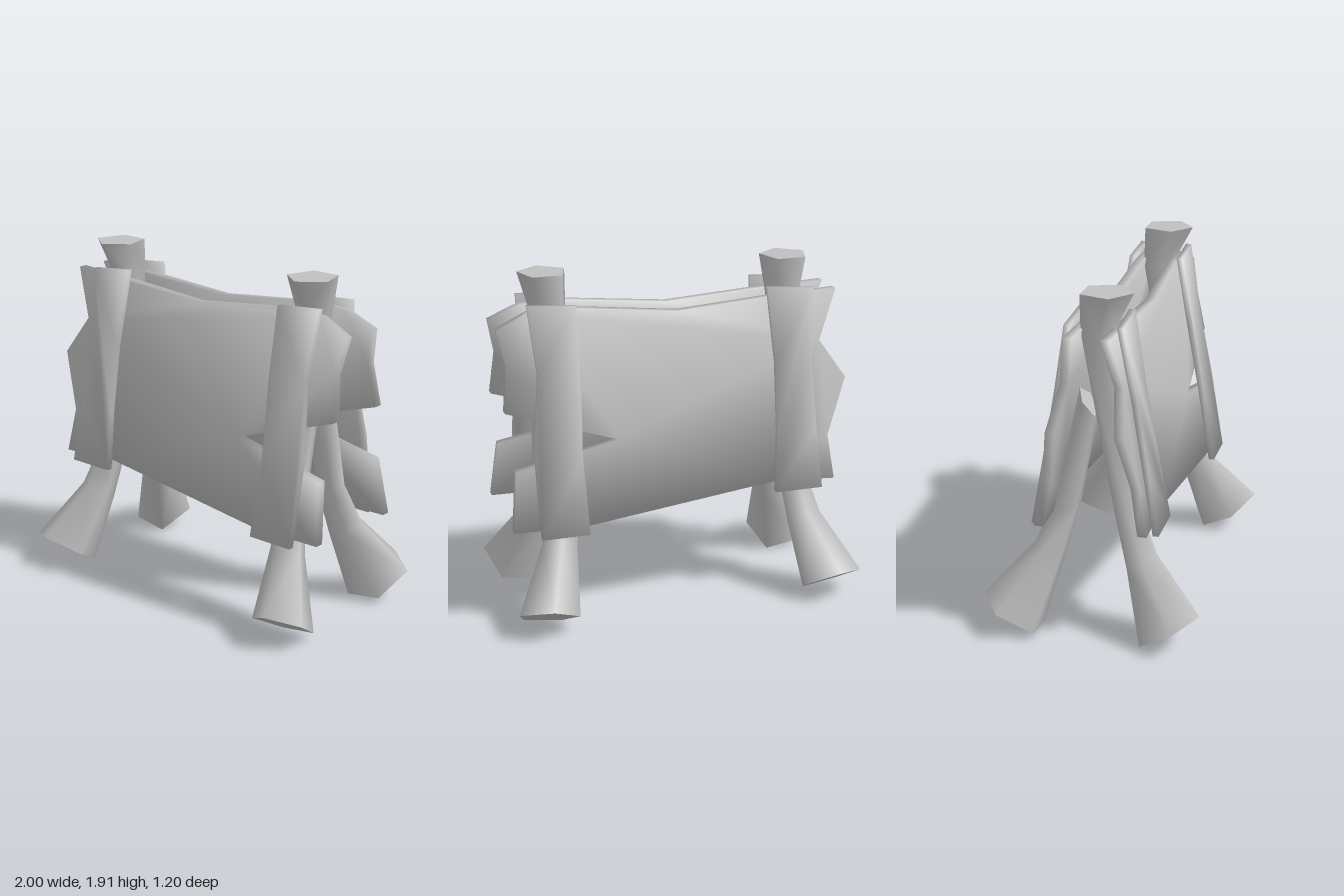
import * as THREE from 'three';
import { mergeVertices } from 'three/addons/utils/BufferGeometryUtils.js';

// Soft normals, weighted by corner angle so thin rims round off the plates
function soften(geo) {
  const p = geo.attributes.position, idx = geo.index.array;
  const normals = Array.from({ length: p.count }, () => new THREE.Vector3());
  const v = [0, 1, 2].map(() => new THREE.Vector3());
  for (let t = 0; t < idx.length; t += 3) {
    v.forEach((q, k) => q.fromBufferAttribute(p, idx[t + k]));
    const n = new THREE.Triangle(...v).getNormal(new THREE.Vector3());
    for (let k = 0; k < 3; k++) {
      const a = v[(k + 1) % 3].clone().sub(v[k]);
      const b = v[(k + 2) % 3].clone().sub(v[k]);
      normals[idx[t + k]].addScaledVector(n, a.angleTo(b));
    }
  }
  geo.setAttribute('normal', new THREE.Float32BufferAttribute(
    normals.flatMap(n => n.normalize().toArray()), 3));
  return geo;
}

// Mirror positions and keep the faces pointing outward
function mirror(geo, sx, sz) {
  geo.scale(sx, 1, sz);
  if (sx * sz < 0) geo.index.array.reverse();
  return geo;
}

// Five-sided log lofted through rings: [x, y, z, rx, rz, slopeX, slopeZ]
function log(rings, sx, sz) {
  const pos = [], idx = [], sides = 5;
  const addRing = ([x, y, z, rx, rz, kx, kz]) => {
    for (let i = 0; i < sides; i++) {
      const a = (i / sides) * Math.PI * 2;
      const dx = Math.sin(a) * rx, dz = Math.cos(a) * rz;
      pos.push(x + dx, y + kx * dx + kz * dz, z + dz);
    }
  };
  rings.forEach(addRing);
  for (let r = 0; r < rings.length - 1; r++) {
    for (let i = 0; i < sides; i++) {
      const a = r * sides + i, b = r * sides + (i + 1) % sides;
      idx.push(a, b, b + sides, a, b + sides, a + sides);
    }
  }
  // separate end caps keep a hard edge
  const base = rings.length * sides, top = base + sides;
  addRing(rings[0]);
  addRing(rings[rings.length - 1]);
  for (let i = 1; i < sides - 1; i++) {
    idx.push(base, base + i + 1, base + i, top, top + i, top + i + 1);
  }
  const geo = new THREE.BufferGeometry();
  geo.setAttribute('position', new THREE.Float32BufferAttribute(pos, 3));
  geo.setIndex(idx);
  return soften(mirror(geo, sx, sz));
}

// Leaning plate cut from an outline; z is its mid depth at height 1.75
function plate(points, z, depth, side) {
  const shape = new THREE.Shape(points.map(([x, y]) => new THREE.Vector2(x, y)));
  let geo = new THREE.ExtrudeGeometry(shape, { depth, bevelEnabled: false });
  geo.deleteAttribute('normal');
  geo.deleteAttribute('uv');
  geo = mergeVertices(geo);
  const p = geo.attributes.position;
  for (let i = 0; i < p.count; i++) {
    p.setZ(i, p.getZ(i) - depth / 2 + z + (1.75 - p.getY(i)) * 0.172);
  }
  mirror(geo, 1, side);
  if (side < 0) geo.translate(0, 0, 0.037);
  return soften(geo);
}

const FOOT = [
  [0.83, 0.08, 0.43, 0.178, 0.168, 0.15, 0.6],
  [0.72, 0.42, 0.255, 0.105, 0.085, 0.1, 0.5],
  [0.675, 0.68, 0.167, 0.086, 0.073, 0, 0.1],
];
const POST = [
  ...FOOT,
  [0.68, 1.68, 0.008, 0.105, 0.09, 0, 0],
  [0.698, 1.89, 0.06, 0.14, 0.146, 0, 0],
];
const PROP = [...FOOT, [0.68, 1.28, 0.04, 0.08, 0.05, 0, 1.5]];

// Ragged board with a split at one end
const BOARD = [
  [-0.95, 1.71], [-0.84, 1.43], [-0.99, 1.21], [-0.87, 0.89], [-0.9, 0.64],
  [-0.53, 0.66], [0.56, 0.535], [0.975, 0.54], [0.94, 0.87], [0.36, 0.99],
  [0.98, 1.19], [0.955, 1.43], [0.995, 1.63], [0.82, 1.71], [0.56, 1.715],
  [-0.02, 1.655], [-0.53, 1.69],
];
const STRAPS = {
  rightStrap: [
    [-0.8, 1.73], [-0.775, 1.33], [-0.79, 0.95], [-0.81, 0.61],
    [-0.53, 0.61], [-0.555, 0.95], [-0.56, 1.33], [-0.53, 1.755],
  ],
  leftStrap: [
    [0.56, 1.735], [0.56, 1.35], [0.578, 0.93], [0.56, 0.5],
    [0.83, 0.5], [0.84, 0.97], [0.795, 1.38], [0.83, 1.755],
  ],
};

export function createModel() {
  const group = new THREE.Group();
  const wood = new THREE.MeshStandardMaterial({ color: 0xbfbfbf });
  wood.name = 'grey wood';
  const add = (name, geo) => {
    const mesh = new THREE.Mesh(geo, wood);
    mesh.name = name;
    group.add(mesh);
  };

  // Tall front posts and shorter rear props
  for (const [label, sx] of [['left', 1], ['right', -1]]) {
    add(label + 'FrontPost', log(POST, sx, 1));
    add(label + 'RearProp', log(PROP, sx, -1));
  }

  // Boards and their straps on both faces
  for (const [label, side] of [['front', 1], ['back', -1]]) {
    add(label + 'Board', plate(BOARD, 0.108, 0.05, side));
    for (const [name, outline] of Object.entries(STRAPS)) {
      add(label + '_' + name, plate(outline, 0.155, 0.032, side));
    }
  }
  return group;
}
